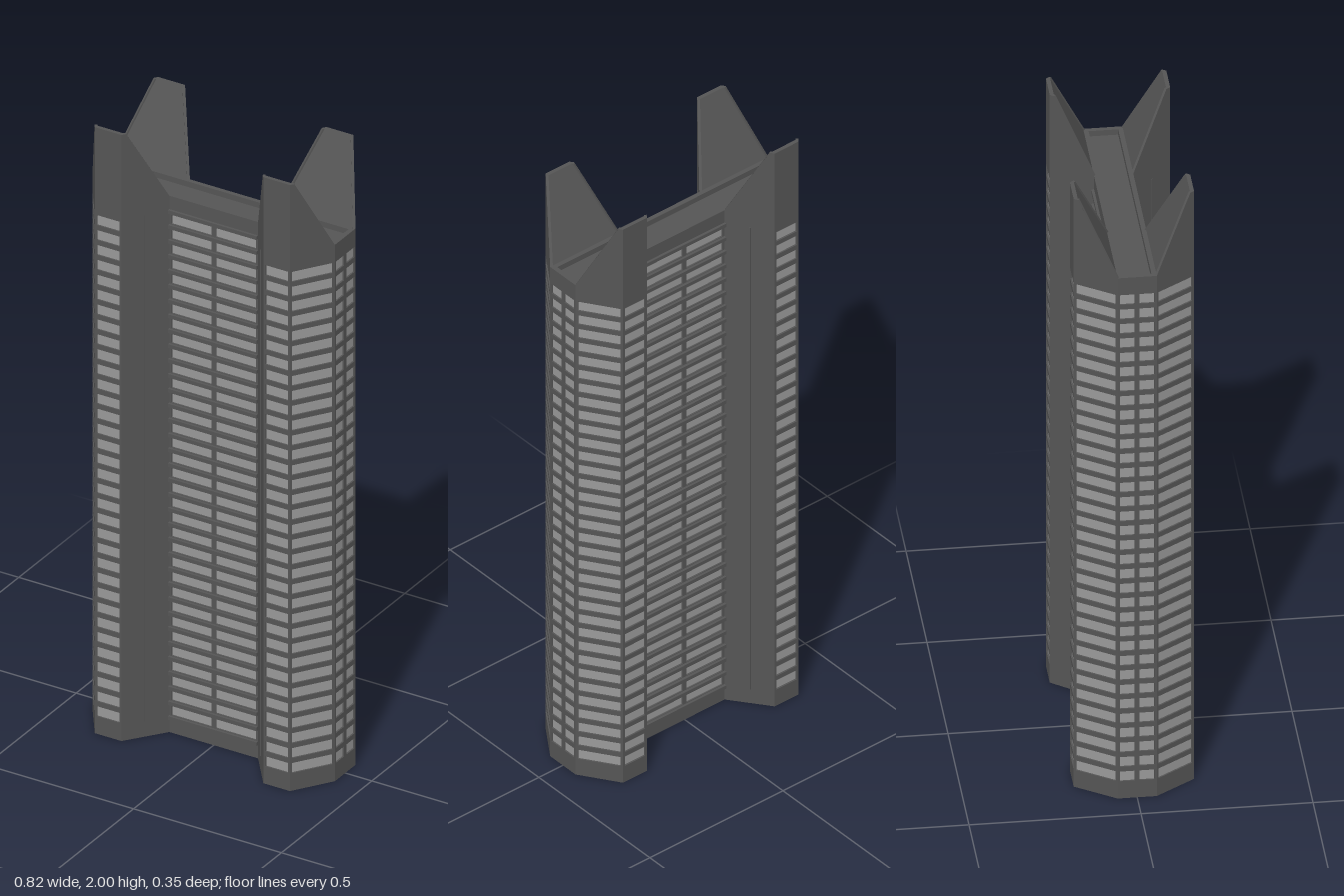
import * as THREE from 'three';

const wallMat = new THREE.MeshStandardMaterial({ color: 0x555555, side: THREE.DoubleSide });
const glassMat = new THREE.MeshStandardMaterial({ color: 0x999999, side: THREE.DoubleSide });

const ROOF = 1.77, PEAK = 2, BASE = 0.05, EAVE = 1.72;
const ROWS = 34, PITCH = (EAVE - BASE) / ROWS, THICK = 0.008;

function add(parent, name, geometry, material) {
  const mesh = new THREE.Mesh(geometry, material);
  mesh.name = name;
  parent.add(mesh);
  return mesh;
}

function rectPath(Type, x0, y0, x1, y1) {
  const p = new Type();
  p.moveTo(x0, y0);
  p.lineTo(x1, y0);
  p.lineTo(x1, y1);
  p.lineTo(x0, y1);
  p.closePath();
  return p;
}

// One upright wall from a to b, with a top outline and columns of window openings
function makeWall(name, a, b, top, columns) {
  const dx = b[0] - a[0], dz = b[1] - a[1], len = Math.hypot(dx, dz);
  const wall = new THREE.Group();
  wall.name = name;
  wall.position.set(a[0], 0, a[1]);
  wall.rotation.y = Math.atan2(-dz, dx);

  const outline = [[0, 0], [len, 0], ...top.map(([u, y]) => [u * len, y]).reverse()];
  const shape = new THREE.Shape(outline.map(([x, y]) => new THREE.Vector2(x, y)));
  const gap = 0.007, cell = len / Math.max(columns, 1);
  for (let c = 0; c < columns; c++) {
    for (let r = 0; r < ROWS; r++) {
      const y = BASE + r * PITCH + 0.008;
      shape.holes.push(rectPath(THREE.Path, c * cell + gap, y, (c + 1) * cell - gap, y + PITCH - 0.016));
    }
  }
  const geo = new THREE.ExtrudeGeometry(shape, { depth: THICK, bevelEnabled: false });
  add(wall, 'wallFrame', geo.translate(0, 0, -THICK), wallMat);

  if (columns) {
    const pane = new THREE.PlaneGeometry(len - gap, EAVE - BASE);
    add(wall, 'windowGlass', pane.translate(len / 2, (EAVE + BASE) / 2, -0.005), glassMat);
  } else {
    // Narrow rib up the middle of a blank wall
    add(wall, 'wallRib', new THREE.BoxGeometry(0.004, EAVE - BASE, 0.004), wallMat)
      .position.set(len / 2, (EAVE + BASE) / 2, 0);
  }
  return wall;
}

// Sloping cap of a tower, with a narrow level rim at its outer edge
function makeTowerCap(side) {
  const rows = [[0.15, 0.41, ROOF, 0.057], [0.231, 0.338, PEAK, 0.163], [0.24, 0.33, PEAK, 0.175]];
  const pos = [];
  for (const [a, b, y, z] of rows) {
    const [l, r] = side > 0 ? [a, b] : [-b, -a];
    pos.push(l, y, z, r, y, z);
  }
  const index = [];
  for (let i = 0; i < 4; i += 2) index.push(i + 2, i + 3, i + 1, i + 2, i + 1, i);
  const indexed = new THREE.BufferGeometry();
  indexed.setAttribute('position', new THREE.Float32BufferAttribute(pos, 3));
  indexed.setIndex(index);
  const geo = indexed.toNonIndexed();
  geo.computeVertexNormals();
  return geo;
}

// Front half of the facade plus one end wall
function makeHalf() {
  const half = new THREE.Group();
  const pts = [[-0.41, 0.057], [-0.33, 0.175], [-0.24, 0.175], [-0.15, 0.057],
    [0.15, 0.057], [0.24, 0.175], [0.33, 0.175], [0.41, 0.057], [0.41, -0.057]];
  const low = [[0, ROOF], [1, ROOF]], high = [[0, PEAK], [1, PEAK]];
  const rise = [[0, ROOF], [0.9, PEAK], [1, PEAK]], fall = [[0, PEAK], [0.1, PEAK], [1, ROOF]];
  const walls = [
    ['outerAngledWall', rise, 1], ['towerFace', high, 1], ['innerAngledWall', fall, 0],
    ['centreWall', low, 2],
    ['innerAngledWall', rise, 0], ['towerFace', high, 1], ['outerAngledWall', fall, 1],
    ['endWall', low, 2],
  ];
  walls.forEach(([name, top, columns], i) => half.add(makeWall(name, pts[i], pts[i + 1], top, columns)));

  // Floor ledges standing out from the centre wall
  for (let r = 0; r <= ROWS; r++) {
    add(half, 'floorLedge', new THREE.BoxGeometry(0.3, 0.012, 0.008), wallMat)
      .position.set(0, BASE + r * PITCH, 0.061);
  }
  for (const side of [-1, 1]) add(half, 'towerCap', makeTowerCap(side), wallMat);
  return half;
}

export function createModel() {
  const model = new THREE.Group();
  model.name = 'skyscraper';

  const front = makeHalf(), back = makeHalf();
  front.name = 'frontHalf';
  back.name = 'backHalf';
  back.rotation.y = Math.PI;
  model.add(front, back);

  // Roof with a low parapet around a recessed deck
  const ring = rectPath(THREE.Shape, -0.41, -0.057, 0.41, 0.057);
  ring.holes.push(rectPath(THREE.Path, -0.395, -0.043, 0.395, 0.043));
  const parapet = new THREE.ExtrudeGeometry(ring, { depth: 0.025, bevelEnabled: false });
  add(model, 'roofParapet', parapet.rotateX(-Math.PI / 2), wallMat).position.y = ROOF - 0.025;
  const deck = new THREE.PlaneGeometry(0.8, 0.1).rotateX(-Math.PI / 2);
  add(model, 'roofDeck', deck, wallMat).position.y = ROOF - 0.018;

  return model;
}
